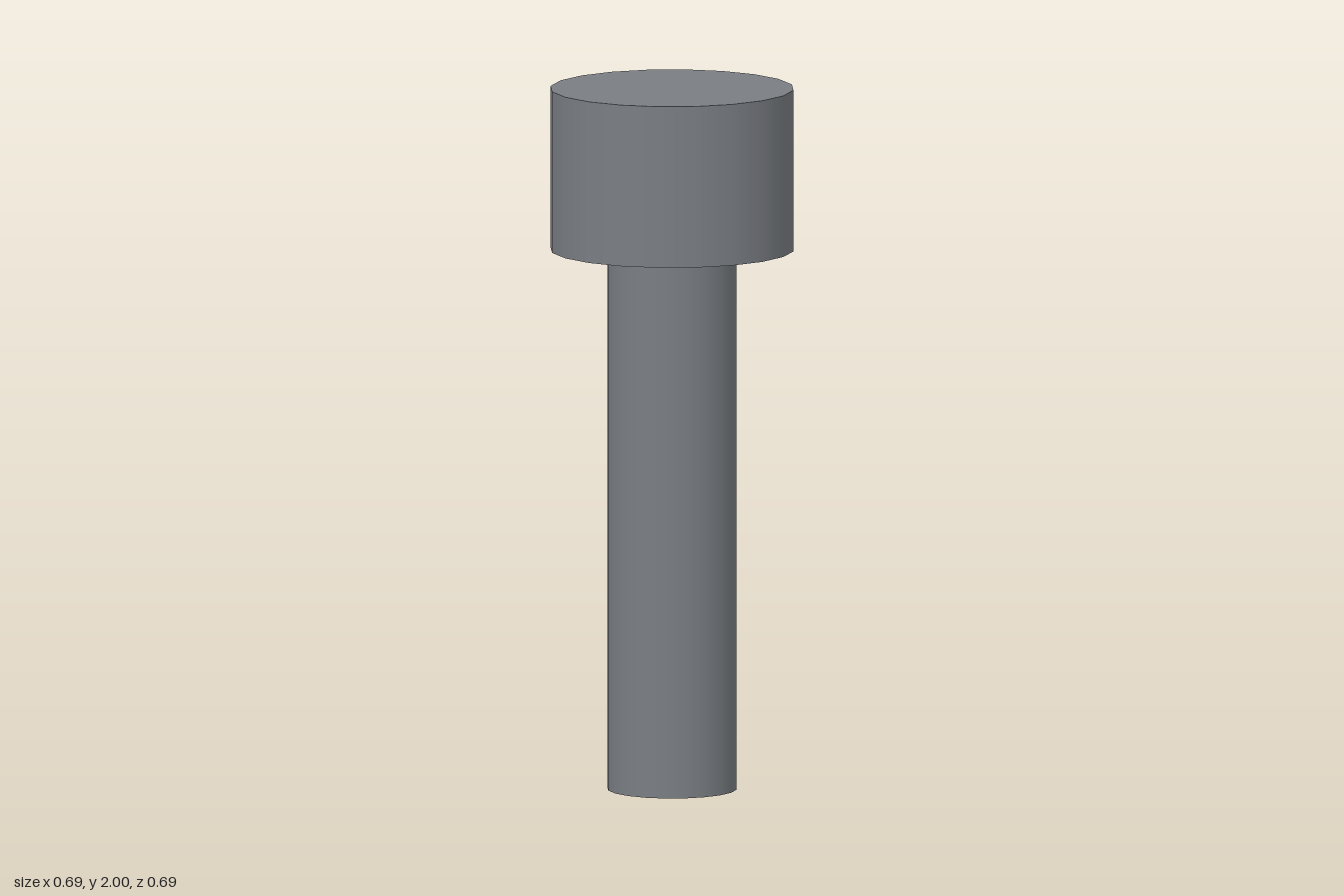
import * as THREE from 'three';

const SIDES = 20;

export function createModel() {
  const model = new THREE.Group();
  const material = new THREE.MeshStandardMaterial({ color: 0x7a7e83 });

  // Upright capped cylinder spanning two heights
  function addCylinder(name, radius, bottom, top) {
    const geometry = new THREE.CylinderGeometry(radius, radius, top - bottom, SIDES);
    const mesh = new THREE.Mesh(geometry, material);
    mesh.name = name;
    mesh.position.y = (bottom + top) / 2;
    model.add(mesh);
  }

  addCylinder('shaft', 0.183, 0, 1.54); // long slim shank
  addCylinder('head', 0.345, 1.54, 2); // wide head on top

  return model;
}
